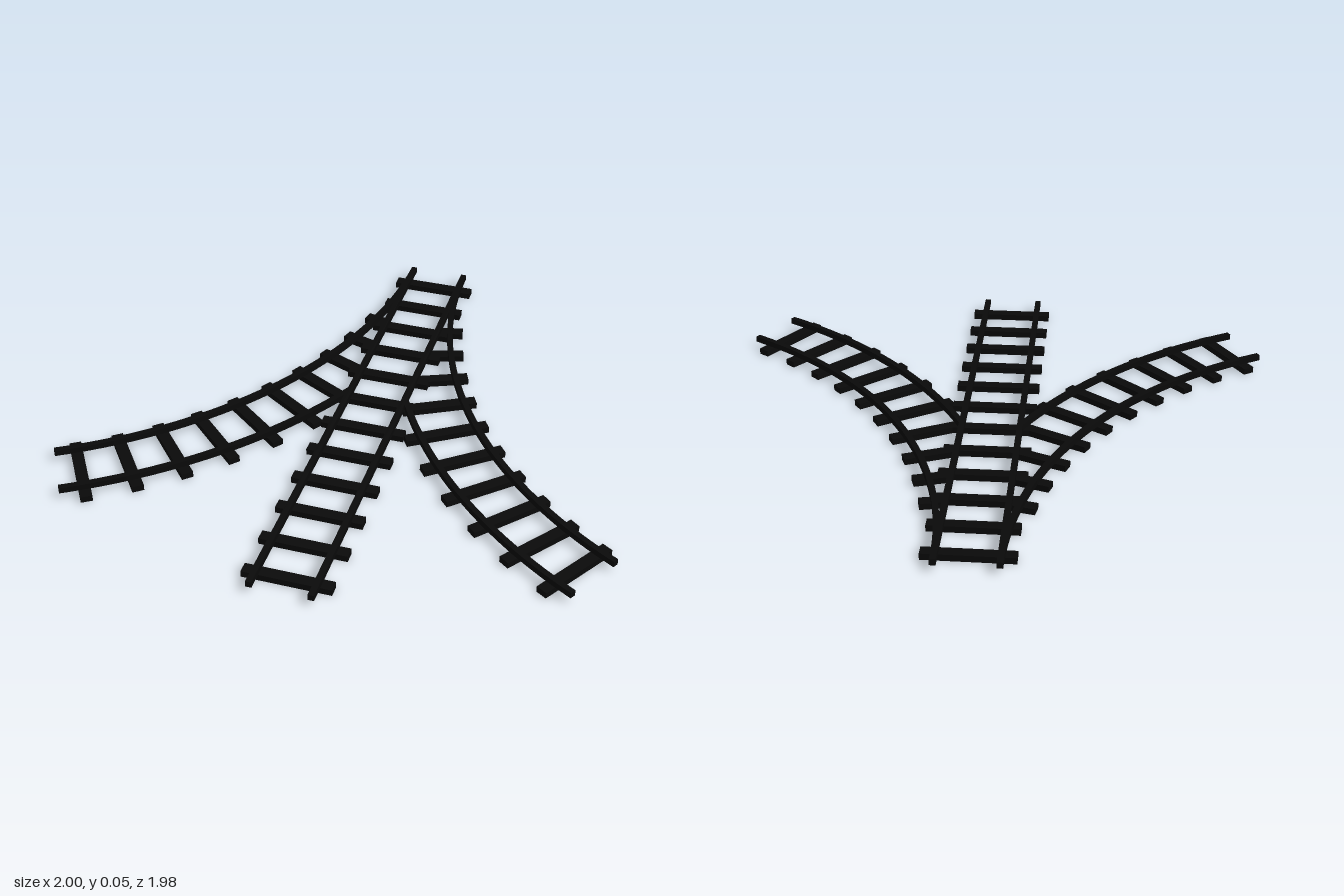
import * as THREE from 'three';

const HALF = 0.99;        // half length of the straight track
const GAUGE = 0.105;      // rail offset from the track centre line
const RAIL_W = 0.021;
const SLEEPER_H = 0.023;
const RAIL_TOP = 0.045;
const SLEEPER_HALF = 0.155;
const SLEEPER_W = 0.042;
const RADIUS = 1.887;     // centre line radius of the branch tracks
const rad = THREE.MathUtils.degToRad;

const iron = new THREE.MeshStandardMaterial({ color: 0x0a0a0a });

function add(parent, name, geometry, x = 0, y = 0, z = 0) {
  const mesh = new THREE.Mesh(geometry, iron);
  mesh.name = name;
  mesh.position.set(x, y, z);
  parent.add(mesh);
  return mesh;
}

// Flat ring sector between two angles; side is +1 (left) or -1 (right)
function curvedRail(radius, from, to, side) {
  const a0 = side > 0 ? Math.PI - to : from;
  const a1 = side > 0 ? Math.PI - from : to;
  const shape = new THREE.Shape();
  shape.absarc(0, 0, radius + RAIL_W / 2, a0, a1, false);
  shape.absarc(0, 0, radius - RAIL_W / 2, a1, a0, true);
  const geometry = new THREE.ExtrudeGeometry(shape, {
    depth: RAIL_TOP - SLEEPER_H, bevelEnabled: false, curveSegments: 40,
  });
  return geometry.rotateX(Math.PI / 2);
}

function straightTrack() {
  const track = new THREE.Group();
  track.name = 'straightTrack';
  const railH = RAIL_TOP - SLEEPER_H;
  for (const side of [-1, 1]) {
    add(track, 'straightRail', new THREE.BoxGeometry(RAIL_W, railH, HALF * 2),
      side * GAUGE, SLEEPER_H + railH / 2, 0);
  }
  for (let i = 0; i < 12; i++) {
    add(track, 'straightSleeper', new THREE.BoxGeometry(SLEEPER_HALF * 2, SLEEPER_H, SLEEPER_W),
      0, SLEEPER_H / 2, -HALF + (i + 0.5) * HALF / 6);
  }
  return track;
}

function branchTrack(side) {
  const track = new THREE.Group();
  track.name = side > 0 ? 'leftBranch' : 'rightBranch';
  // Everything is laid out around the centre of the curve
  track.position.set(side * RADIUS, 0, -HALF);

  const end = rad(60);
  const near = RADIUS - GAUGE, far = RADIUS + GAUGE;
  add(track, 'nearCurvedRail', curvedRail(near, 0, end, side), 0, RAIL_TOP, 0);
  // The far rail begins where it meets the straight rail
  add(track, 'farCurvedRail', curvedRail(far, Math.acos(near / far), end, side), 0, RAIL_TOP, 0);

  // Sleepers are cut short where they run into the straight track
  for (let deg = 12.5; deg < 60; deg += 5) {
    const angle = rad(deg);
    const r0 = RADIUS - SLEEPER_HALF;
    const r1 = Math.min(RADIUS + SLEEPER_HALF, near / Math.cos(angle));
    const mid = (r0 + r1) / 2;
    const sleeper = add(track, 'branchSleeper', new THREE.BoxGeometry(r1 - r0, SLEEPER_H, SLEEPER_W),
      -side * mid * Math.cos(angle), SLEEPER_H / 2, mid * Math.sin(angle));
    sleeper.rotation.y = side * angle;
  }
  return track;
}

export function createModel() {
  const model = new THREE.Group();
  model.name = 'threeWayTrackSwitch';
  model.add(straightTrack(), branchTrack(1), branchTrack(-1));
  return model;
}
